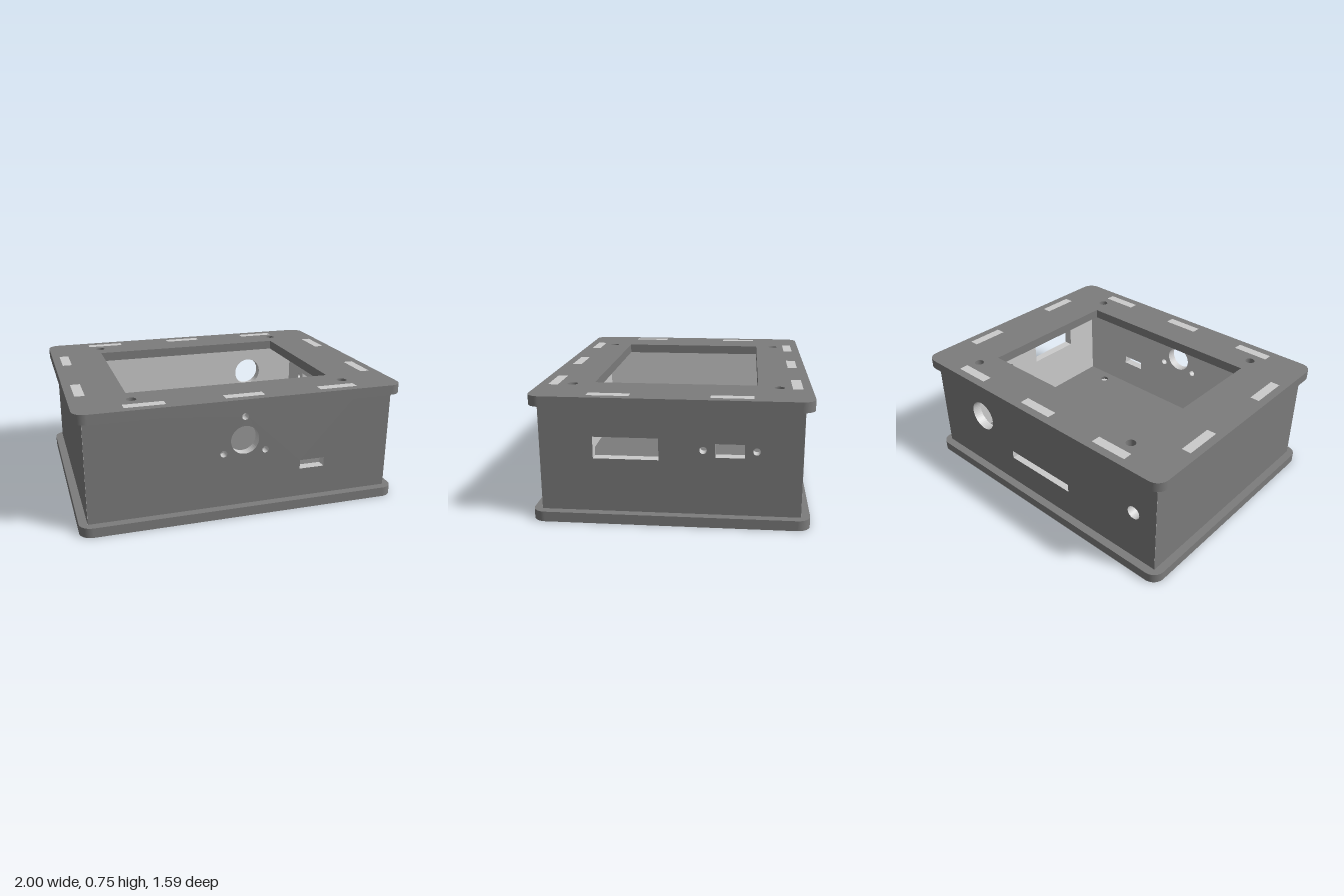
import * as THREE from 'three';

const T = 0.06;           // sheet thickness
const H = 0.745;          // overall height
const WX = 0.95, WZ = 0.745; // outer planes of the walls
const TAB = 0.12;         // half length of a tab
const longTabs = [-0.593, 0, 0.593];
const shortTabs = [-0.345, 0.345];

const light = new THREE.MeshStandardMaterial({ color: 0xcccccc });
const dark = new THREE.MeshStandardMaterial({ color: 0x7c7c7c });

function circle(x, y, r) {
  const p = new THREE.Path();
  p.absarc(x, y, r, 0, Math.PI * 2, true);
  return p;
}

function rect(x0, y0, x1, y1) {
  return new THREE.Path([[x0, y0], [x0, y1], [x1, y1], [x1, y0]].map(([x, y]) => new THREE.Vector2(x, y)));
}

// Rounded plate with slots for the wall tabs; top face at height y
function plate(name, y, holes) {
  const a = 1, b = 0.797, r = 0.075;
  const s = new THREE.Shape();
  s.absarc(a - r, b - r, r, 0, Math.PI / 2);
  s.absarc(-a + r, b - r, r, Math.PI / 2, Math.PI);
  s.absarc(-a + r, -b + r, r, Math.PI, Math.PI * 1.5);
  s.absarc(a - r, -b + r, r, Math.PI * 1.5, Math.PI * 2);
  s.holes.push(...holes);
  for (const side of [-1, 1]) {
    for (const c of longTabs) {
      const z = side * (WZ - T / 2);
      s.holes.push(rect(c - TAB, z - T / 2, c + TAB, z + T / 2));
    }
    for (const c of shortTabs) {
      const x = side * (WX - T / 2);
      s.holes.push(rect(x - T / 2, c - TAB, x + T / 2, c + TAB));
    }
  }
  const g = new THREE.ExtrudeGeometry(s, { depth: T, bevelEnabled: false, curveSegments: 24 });
  g.rotateX(Math.PI / 2).translate(0, y, 0);
  const m = new THREE.Mesh(g, dark);
  m.name = name;
  return m;
}

// Wall with tabs above and below; dark outer face, light inside and edges
function wall(name, half, tabs, holes, angle, distance) {
  const s = new THREE.Shape();
  s.moveTo(-half, T);
  for (const c of tabs) {
    s.lineTo(c - TAB, T);
    s.lineTo(c - TAB, 0);
    s.lineTo(c + TAB, 0);
    s.lineTo(c + TAB, T);
  }
  s.lineTo(half, T);
  s.lineTo(half, H - T);
  for (const c of [...tabs].reverse()) {
    s.lineTo(c + TAB, H - T);
    s.lineTo(c + TAB, H);
    s.lineTo(c - TAB, H);
    s.lineTo(c - TAB, H - T);
  }
  s.lineTo(-half, H - T);
  s.holes.push(...holes);
  const g = new THREE.ExtrudeGeometry(s, { depth: T, bevelEnabled: false, curveSegments: 24 });
  const [lids, edges] = g.groups.map((q) => ({ ...q }));
  g.clearGroups();
  g.addGroup(0, lids.count / 2, 0);
  g.addGroup(lids.count / 2, lids.count / 2, 1);
  g.addGroup(edges.start, edges.count, 0);
  g.translate(0, 0, distance - T).rotateY(angle);
  const m = new THREE.Mesh(g, [light, dark]);
  m.name = name;
  return m;
}

export function createModel() {
  const model = new THREE.Group();
  model.name = 'enclosure';

  const screwHoles = (left, right) =>
    [-0.61, 0.603].flatMap((z) => [circle(left, z, 0.03), circle(right, z, 0.03)]);

  // Lid with a large window, base with cable openings
  model.add(plate('topPlate', H, [rect(-0.655, -0.487, 0.637, 0.48), ...screwHoles(-0.645, 0.682)]));
  model.add(plate('bottomPlate', T, [
    rect(-0.607, -0.11, -0.463, 0.01),
    circle(-0.005, -0.05, 0.07),
    circle(-0.537, 0.25, 0.096),
    ...screwHoles(-0.645, 0.682),
  ]));

  // Plugs in the two right-hand base holes
  for (const z of [-0.61, 0.603]) {
    const plug = new THREE.Mesh(new THREE.CylinderGeometry(0.03, 0.03, T / 3, 24), light);
    plug.position.set(0.682, T / 2, z);
    plug.name = 'basePlug';
    model.add(plug);
  }

  // Walls; ends stop just short so that corner faces do not coincide
  const halfX = WX - 0.001, halfZ = WZ - 0.001;
  model.add(wall('frontWall', halfX, longTabs, [
    circle(0, 0.475, 0.088),
    circle(0, 0.622, 0.021),
    circle(-0.131, 0.4, 0.021),
    circle(0.131, 0.4, 0.021),
    rect(0.36, 0.243, 0.52, 0.3),
  ], 0, WZ));
  model.add(wall('backWall', halfX, longTabs, [
    circle(-0.527, 0.455, 0.1),
    rect(-0.25, 0.25, 0.26, 0.305),
    circle(0.785, 0.4, 0.043),
  ], Math.PI, WZ));
  model.add(wall('leftSideWall', halfZ, shortTabs, [
    rect(-0.437, 0.377, -0.063, 0.505),
    rect(0.257, 0.402, 0.42, 0.482),
    circle(0.188, 0.443, 0.021),
    circle(0.487, 0.443, 0.021),
  ], Math.PI / 2, WX));
  model.add(wall('rightSideWall', halfZ, shortTabs, [], -Math.PI / 2, WX));

  return model;
}
